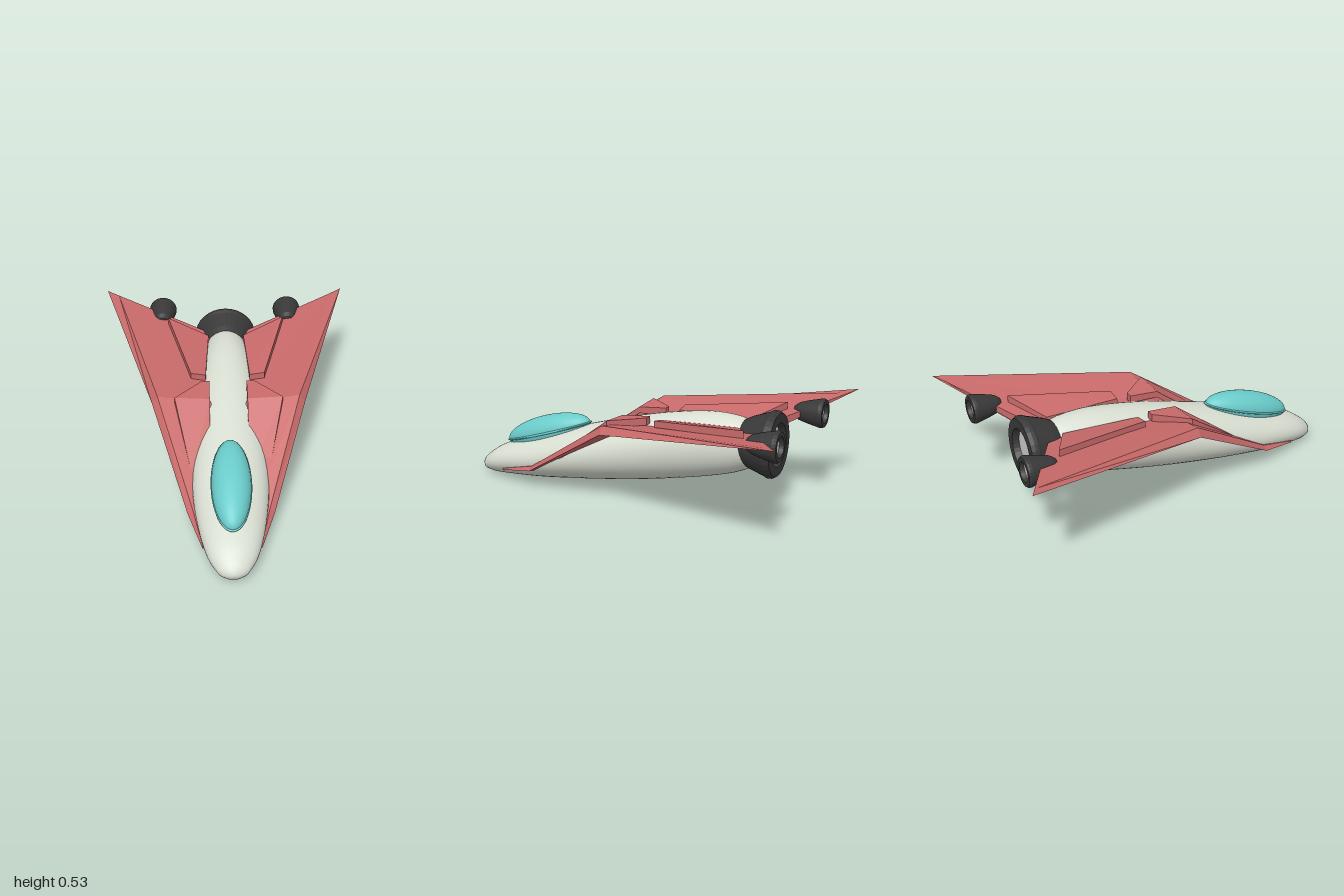
import * as THREE from 'three';

const paint = (color, flat = false) => new THREE.MeshStandardMaterial({ color, flatShading: flat });

// Skin over cross-sections ordered front to back; each ring runs counter-clockwise seen from the front.
function loft(rings) {
  const n = rings[0].length, index = [];
  for (let i = 0; i < rings.length - 1; i++) {
    for (let j = 0; j < n; j++) {
      const a = i * n + j, b = i * n + (j + 1) % n;
      index.push(a, a + n, b, b, a + n, b + n);
    }
  }
  const last = (rings.length - 1) * n;
  for (let j = 1; j < n - 1; j++) {
    index.push(0, j, j + 1, last, last + j + 1, last + j);
  }
  const geometry = new THREE.BufferGeometry();
  geometry.setAttribute('position', new THREE.Float32BufferAttribute(rings.flat(2), 3));
  geometry.setIndex(index);
  geometry.computeVertexNormals();
  return geometry;
}

// Flat-faced loft, mirrored to the other side when side is -1.
function panel(name, rings, side, material) {
  const placed = side > 0 ? rings
    : rings.map(r => r.map(([x, y, z]) => [-x, y, z]).reverse());
  const geometry = loft(placed).toNonIndexed();
  geometry.computeVertexNormals();
  const mesh = new THREE.Mesh(geometry, material);
  mesh.name = name;
  return mesh;
}

// Plate section: inner and outer top corners plus a thickness.
const plate = (inner, outer, t) => [
  [inner[0], inner[1] - t, inner[2]], [outer[0], outer[1] - t, outer[2]], outer, inner,
];

// Smooth hull from [z, bottom, top, half width]
function fuselageGeometry() {
  const stations = [
    [0.97, 0.012, 0.105, 0.075], [0.9, 0.005, 0.155, 0.118], [0.8, 0.008, 0.2, 0.15],
    [0.6, 0.018, 0.262, 0.185], [0.4, 0.035, 0.325, 0.2], [0.2, 0.056, 0.38, 0.2],
    [0, 0.08, 0.432, 0.192], [-0.2, 0.112, 0.472, 0.178], [-0.4, 0.15, 0.497, 0.155],
    [-0.55, 0.188, 0.49, 0.13], [-0.63, 0.22, 0.47, 0.115],
  ];
  const low = new THREE.CatmullRomCurve3(stations.map(s => new THREE.Vector3(s[3], s[1], s[0])));
  const high = new THREE.CatmullRomCurve3(stations.map(s => new THREE.Vector3(s[3], s[2], s[0])));
  const ring = (z, bottom, top, w) => Array.from({ length: 40 }, (_, j) => {
    const a = j / 40 * Math.PI * 2;
    return [w * Math.cos(a), (bottom + top) / 2 + (top - bottom) / 2 * Math.sin(a), z];
  });
  const rings = [
    ring(1, 0.053, 0.056, 0.002), ring(0.997, 0.038, 0.07, 0.025), ring(0.988, 0.024, 0.087, 0.05),
  ];
  for (let i = 0; i <= 50; i++) {
    const l = low.getPoint(i / 50), h = high.getPoint(i / 50);
    rings.push(ring((l.z + h.z) / 2, l.y, h.y, l.x));
  }
  return loft(rings);
}

// Rear-facing engine turned from [radius, distance back], with a grey glow disc inside
function engine(name, profile, discRadius, discDepth, dark, grey) {
  const group = new THREE.Group();
  group.name = name;
  const shell = new THREE.Mesh(
    new THREE.LatheGeometry(profile.map(p => new THREE.Vector2(...p)), 32), dark);
  shell.name = 'nozzle';
  shell.rotation.x = -Math.PI / 2;
  const disc = new THREE.Mesh(new THREE.CircleGeometry(discRadius, 32), grey);
  disc.name = 'exhaust';
  disc.rotation.y = Math.PI;
  disc.position.z = -discDepth;
  group.add(shell, disc);
  return group;
}

export function createModel() {
  const model = new THREE.Group();
  model.name = 'spacecraft';
  const white = paint(0xd9ded2);
  const red = paint(0xc96a6a, true);
  const teal = paint(0x6accca);
  const dark = paint(0x383838, true);
  const grey = paint(0xcccccc);

  const fuselage = new THREE.Mesh(fuselageGeometry(), white);
  fuselage.name = 'fuselage';
  model.add(fuselage);

  // Canopy bubble and its thin rim, tilted with the nose
  const canopy = new THREE.Group();
  canopy.name = 'canopy';
  for (const [name, x, y, z] of [['glass', 0.1, 0.09, 0.272], ['rim', 0.104, 0.022, 0.28]]) {
    const mesh = new THREE.Mesh(new THREE.SphereGeometry(1, 40, 24), teal);
    mesh.name = name;
    mesh.scale.set(x, y, z);
    canopy.add(mesh);
  }
  canopy.position.set(0, 0.28, 0.575);
  canopy.rotation.x = 0.29;
  model.add(canopy);

  // Wing sections: lower root, outer edge, ridge, upper root
  const wing = [
    [[0.1, 0.055, 0.8], [0.148, 0.06, 0.8], [0.145, 0.068, 0.8], [0.1, 0.065, 0.8]],
    [[0.1, 0.08, 0.58], [0.222, 0.1, 0.58], [0.195, 0.122, 0.58], [0.1, 0.11, 0.58]],
    [[0.08, 0.365, 0.04], [0.408, 0.415, 0.04], [0.377, 0.457, 0.04], [0.08, 0.4, 0.04]],
    [[0.08, 0.375, -0.655], [0.7, 0.533, -1], [0.63, 0.522, -0.955], [0.08, 0.43, -0.655]],
  ];
  // Raised cover plates lying on the wing beside the hull
  const frontPlate = [
    plate([0.1, 0.2, 0.4], [0.2, 0.22, 0.4], 0.035),
    plate([0.1, 0.45, 0.06], [0.286, 0.46, 0.06], 0.035),
    plate([0.1, 0.46, -0.1], [0.142, 0.46, -0.1], 0.04),
  ];
  const rearPlate = [
    plate([0.12, 0.453, -0.17], [0.2, 0.465, -0.17], 0.035),
    plate([0.1, 0.455, -0.59], [0.333, 0.507, -0.71], 0.04),
  ];

  for (const side of [1, -1]) {
    const label = side > 0 ? 'left' : 'right';
    model.add(
      panel(label + 'Wing', wing, side, red),
      panel(label + 'FrontPlate', frontPlate, side, red),
      panel(label + 'RearPlate', rearPlate, side, red),
    );
    const pod = engine(label + 'Engine', [
      [0, 0], [0.03, 0.006], [0.048, 0.03], [0.064, 0.085], [0.079, 0.15], [0.079, 0.162],
      [0.073, 0.172], [0.052, 0.172], [0.045, 0.145],
    ], 0.046, 0.15, dark, grey);
    pod.position.set(side * 0.367, 0.457, -0.738);
    model.add(pod);
  }

  const main = engine('mainEngine', [
    [0, 0], [0.115, 0], [0.135, 0.04], [0.168, 0.135], [0.176, 0.15], [0.176, 0.168],
    [0.165, 0.188], [0.115, 0.188], [0.1, 0.15],
  ], 0.102, 0.155, dark, grey);
  main.position.set(0, 0.36, -0.592);
  model.add(main);
  return model;
}
